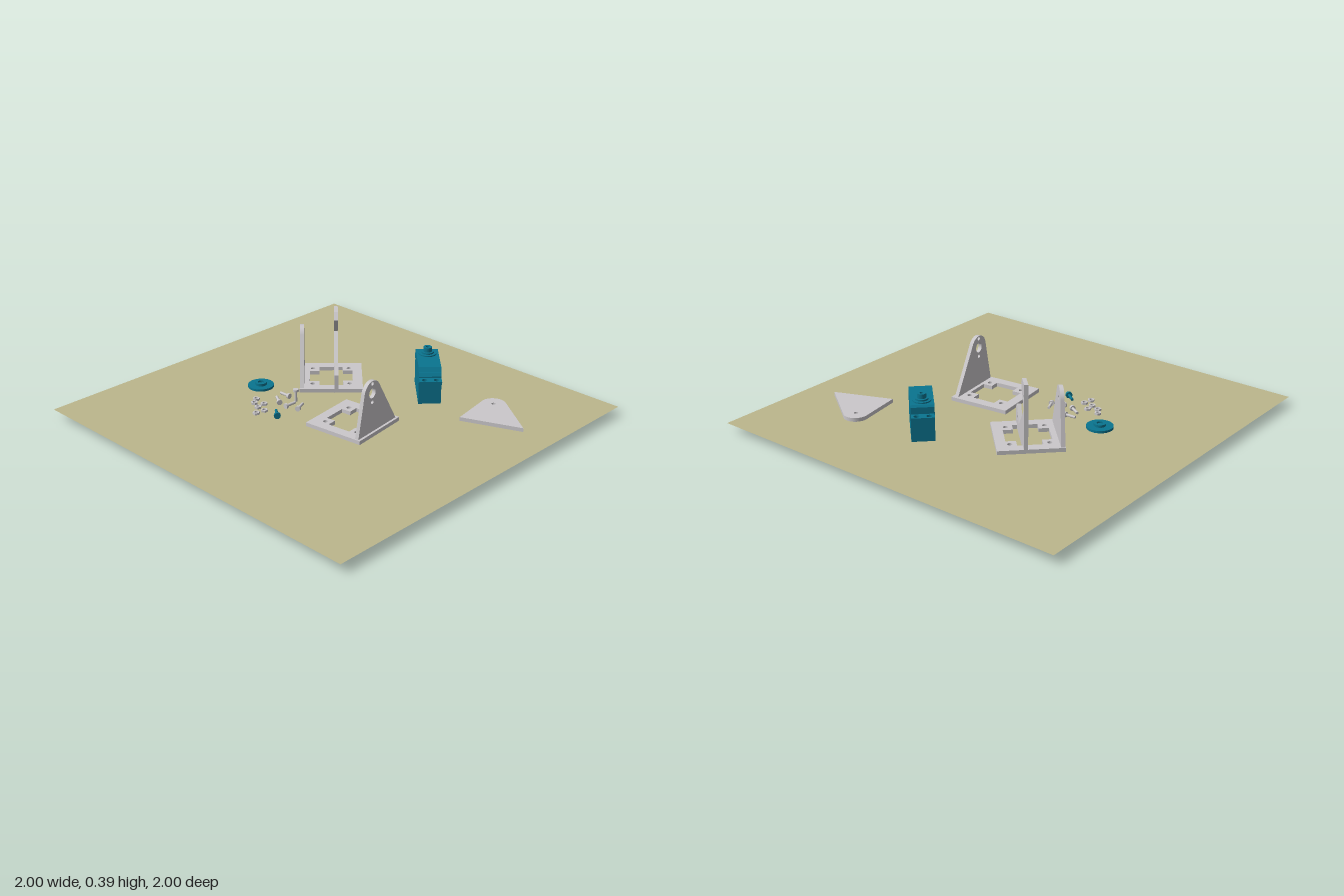
import * as THREE from 'three';

const mat = (name, color) => Object.assign(new THREE.MeshStandardMaterial({ color }), { name });
const GROUND = 0.045, T = 0.02;

export function createModel() {
  const root = new THREE.Group();
  root.name = 'servoBracketKit';
  const olive = mat('olive', 0xbcb78c), grey = mat('lightGrey', 0xcbc8cb), teal = mat('teal', 0x0a7590);
  olive.side = THREE.DoubleSide;

  // Helpers
  const add = (parent, name, geo, material) => {
    const m = new THREE.Mesh(geo, material);
    m.name = name;
    parent.add(m);
    return m;
  };
  const group = (name, x, y, z, ry = 0) => {
    const g = new THREE.Group();
    g.name = name;
    g.position.set(x, y, z);
    g.rotation.y = ry;
    root.add(g);
    return g;
  };
  const poly = (pts) => new THREE.Shape(pts.map(([x, y]) => new THREE.Vector2(x, y)));
  const rect = (w, h) => poly([[-w / 2, -h / 2], [w / 2, -h / 2], [w / 2, h / 2], [-w / 2, h / 2]]);
  const hole = (shape, x, y, r) => {
    const p = new THREE.Path();
    p.absarc(x, y, r, 0, Math.PI * 2, true);
    shape.holes.push(p);
  };
  const extrude = (shape, depth) =>
    new THREE.ExtrudeGeometry(shape, { depth, bevelEnabled: false, curveSegments: 16 });
  const flat = (shape, depth) => extrude(shape, depth).rotateX(-Math.PI / 2);
  // upright plate: shape x runs along z, centred on x = u
  const upright = (shape, u) =>
    extrude(shape, T).translate(0, 0, -T / 2).rotateY(-Math.PI / 2).translate(u, 0, 0);
  const lathe = (pts, seg = 32) => {
    const g = new THREE.LatheGeometry(pts.map(([x, y]) => new THREE.Vector2(x, y)), seg).toNonIndexed();
    g.computeVertexNormals();
    return g;
  };

  // Triangular side plate with rounded apex
  const gusset = (a, h, r = 0.063) => {
    const angle = (px, sign) => {
      const dx = px - a;
      return Math.atan2(-h, dx) + sign * Math.acos(r / Math.hypot(dx, h));
    };
    const s = new THREE.Shape();
    s.moveTo(-0.16, 0);
    s.lineTo(0.16, 0);
    s.absarc(a, h, r, angle(0.16, 1), angle(-0.16, -1) + Math.PI * 2, false);
    s.closePath();
    return s;
  };

  // Square frame with a cross-shaped window and four screw holes
  const frame = () => {
    const s = rect(0.325, 0.325);
    const a = 0.112, b = 0.062;
    s.holes.push(new THREE.Path(
      [[-b, -a], [b, -a], [b, -b], [a, -b], [a, b], [b, b], [b, a], [-b, a], [-b, b], [-a, b], [-a, -b], [-b, -b]]
        .map(([x, y]) => new THREE.Vector2(x, y))));
    for (const x of [-1, 1]) for (const y of [-1, 1]) hole(s, x * 0.095, y * 0.095, 0.012);
    return flat(s, T);
  };

  // Base sheet
  add(root, 'groundSheet', new THREE.PlaneGeometry(2, 2).rotateX(-Math.PI / 2).translate(0, GROUND, 0), olive);

  // Bracket with bearing hole
  const b1 = group('hornBracket', 0.176, GROUND + 0.002, 0.067, 0.12);
  add(b1, 'bracketFrame', frame(), grey);
  const hornSide = gusset(0.047, 0.225);
  hole(hornSide, 0.047, 0.225, 0.026);
  hole(hornSide, 0.047, 0.275, 0.01);
  hole(hornSide, 0.047, 0.178, 0.01);
  add(b1, 'bracketSide', upright(hornSide, 0.14), grey);

  // Bracket with slanted servo cradle
  const b2 = group('servoBracket', -0.257, GROUND + 0.002, -0.222, -Math.PI * 0.75);
  add(b2, 'bracketFrame', frame(), grey);
  const pivotSide = gusset(0.047, 0.225);
  hole(pivotSide, 0.047, 0.228, 0.011);
  add(b2, 'bracketSide', upright(pivotSide, 0.15), grey);
  const cradle = poly([[0.162, 0], [0.162, 0.348], [0.08, 0.348], [0.047, 0.313], [0.145, 0.213],
    [-0.045, 0.055], [-0.12, 0.13], [-0.165, 0.098], [-0.165, 0]]);
  hole(cradle, 0.125, 0.272, 0.011);
  hole(cradle, -0.11, 0.06, 0.011);
  add(b2, 'servoCradle', upright(cradle, -0.026), grey);

  // Loose side plate lying flat
  const loose = gusset(-0.047, 0.207);
  hole(loose, -0.047, 0.207, 0.011);
  add(group('loosePlate', 0.68, GROUND + 0.002, -0.38, 0.39), 'sidePlate', flat(loose, T), grey);

  // Servo motor
  const servo = group('servo', 0.205, 0, -0.458, -Math.PI / 4);
  const bodySide = poly([[-0.134, 0], [0.134, 0], [0.134, 0.195], [0.122, 0.212], [0.112, 0.212],
    [0.098, 0.232], [-0.125, 0.232], [-0.134, 0.222]]);
  add(servo, 'servoBody', extrude(bodySide, 0.114).translate(0, 0, -0.057), teal);
  for (const side of [-1, 1]) {
    const ear = rect(0.05, 0.112);
    for (const y of [-1, 1]) hole(ear, side * 0.004, y * 0.03, 0.014);
    add(servo, 'mountingEar', flat(ear, 0.016).translate(side * 0.155, 0.172, 0), teal);
  }
  add(servo, 'outputShaft',
    lathe([[0.046, 0.23], [0.046, 0.238], [0.032, 0.238], [0.032, 0.246], [0.022, 0.246],
      [0.022, 0.27], [0.009, 0.27], [0.009, 0.255], [0, 0.255]]).translate(-0.07, 0, 0), teal);

  // Round servo horn
  add(group('servoHorn', -0.457, GROUND, 0.093), 'hornDisc',
    lathe([[0.008, 0.002], [0.067, 0.002], [0.067, 0.014], [0.03, 0.014], [0.03, 0.027],
      [0.016, 0.027], [0.016, 0.018], [0.008, 0.018], [0.008, 0.002]]), teal);

  // Screws: [x, z] of tip, [x, z] of head
  const screw = (name, tip, head, material, r) => {
    const dx = head[0] - tip[0], dz = head[1] - tip[1], len = Math.hypot(dx, dz);
    const g = group(name, tip[0], GROUND + r, tip[1], Math.atan2(-dz, dx));
    add(g, 'screwShaft', new THREE.CylinderGeometry(0.007, 0.007, len, 12).rotateZ(-Math.PI / 2).translate(len / 2, 0, 0), material);
    add(g, 'screwHead', new THREE.CylinderGeometry(r, r, 0.012, 16).rotateZ(-Math.PI / 2).translate(len - 0.006, 0, 0), material);
  };
  screw('screw', [-0.31, 0.092], [-0.245, 0.09], grey, 0.014);
  screw('screw', [-0.288, 0.14], [-0.228, 0.176], grey, 0.014);
  screw('screw', [-0.176, 0.12], [-0.178, 0.186], grey, 0.014);
  screw('screw', [-0.139, 0.102], [-0.112, 0.164], grey, 0.014);
  screw('hornScrew', [-0.176, 0.25], [-0.122, 0.292], teal, 0.017);
  const standing = group('standingScrew', -0.202, GROUND, 0.088);
  add(standing, 'screwShaft', new THREE.CylinderGeometry(0.007, 0.007, 0.06, 12).translate(0, 0.03, 0), grey);
  add(standing, 'screwHead', new THREE.CylinderGeometry(0.015, 0.015, 0.012, 16).translate(0, 0.062, 0), grey);

  // Hex nuts
  const nut = poly(Array.from({ length: 6 }, (_, i) => [0.018 * Math.cos(i * Math.PI / 3), 0.018 * Math.sin(i * Math.PI / 3)]));
  hole(nut, 0, 0, 0.009);
  const nutGeo = flat(nut, 0.011);
  [[-0.358, 0.217], [-0.331, 0.254], [-0.288, 0.228], [-0.283, 0.274], [-0.232, 0.278], [-0.24, 0.325]]
    .forEach(([x, z], i) => add(group('nut', x, GROUND, z, i * 0.4), 'hexNut', nutGeo, grey));

  return root;
}
